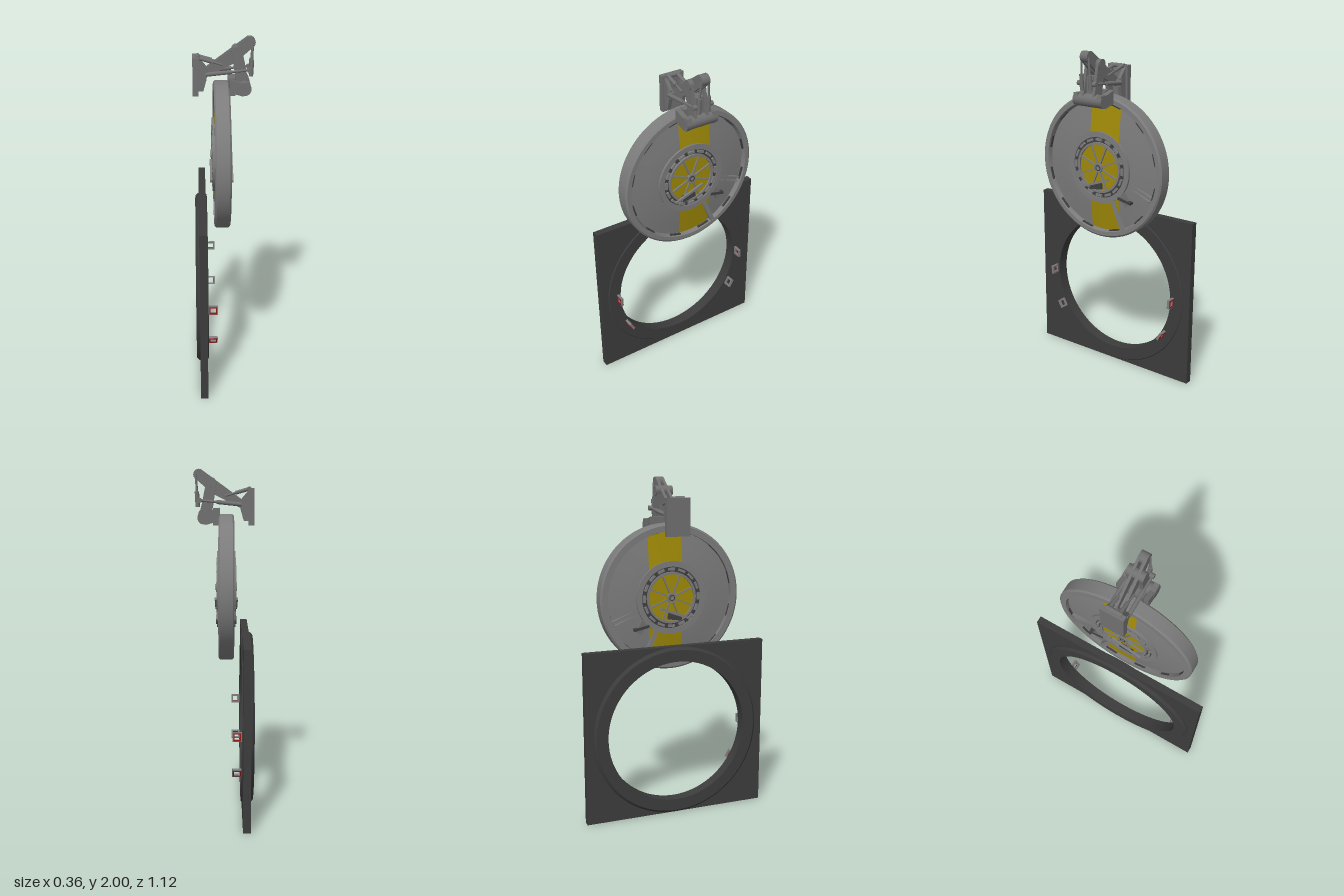
import * as THREE from 'three';
import { toCreasedNormals } from 'three/addons/utils/BufferGeometryUtils.js';

const mat = (name, color, side = THREE.FrontSide) => {
  const m = new THREE.MeshStandardMaterial({ color, side });
  m.name = name;
  return m;
};
const V = (x, y, z) => new THREE.Vector3(x, y, z);

export function createModel() {
  const M = {
    frame: mat('charcoal frame', 0x3c3c3c),
    door: mat('door grey', 0x7c7c7c),
    arm: mat('arm grey', 0x707070),
    dark: mat('dark trim', 0x404040),
    yellow: mat('yellow paint', 0xa08a08, THREE.DoubleSide),
    red: mat('red inlay', 0x9a1414),
  };
  const model = new THREE.Group();
  model.name = 'hangingHatch';

  const group = (name, parent) => {
    const g = new THREE.Group();
    g.name = name;
    parent.add(g);
    return g;
  };
  const add = (parent, name, geo, m, x = 0, y = 0, z = 0) => {
    const mesh = new THREE.Mesh(geo, m);
    mesh.name = name;
    mesh.position.set(x, y, z);
    parent.add(mesh);
    return mesh;
  };
  const box = (parent, name, m, [w, h, d], [x, y, z]) =>
    add(parent, name, new THREE.BoxGeometry(w, h, d), m, x, y, z);
  // Solid of revolution about the x axis; points are [radius, x]
  const turned = (pts, seg = 64) => {
    const g = new THREE.LatheGeometry(pts.map(p => new THREE.Vector2(...p)), seg);
    return toCreasedNormals(g.rotateZ(-Math.PI / 2), 0.5);
  };
  const ring = (r0, r1, x0, x1) => turned([[r0, x0], [r1, x0], [r1, x1], [r0, x1], [r0, x0]]);
  // Flat side profile in x, y with a thickness along z
  const slab = (parent, name, m, pts, thick, z) => {
    const s = new THREE.Shape(pts.map(p => new THREE.Vector2(...p)));
    const g = new THREE.ExtrudeGeometry(s, { depth: thick, bevelEnabled: false });
    return add(parent, name, g, m, 0, 0, z - thick / 2);
  };
  const rod = (parent, name, m, a, b, r, r2 = r) => {
    const d = b.clone().sub(a);
    const mesh = add(parent, name, new THREE.CylinderGeometry(r2, r, d.length(), 16), m);
    mesh.position.copy(a).addScaledVector(d, 0.5);
    mesh.quaternion.setFromUnitVectors(V(0, 1, 0), d.normalize());
    return mesh;
  };
  const pin = (parent, name, m, x, y, r, len, z = 0) =>
    rod(parent, name, m, V(x, y, z - len / 2), V(x, y, z + len / 2), r);

  // Square wall frame with a round collar
  const frame = group('wallFrame', model);
  const CY = 0.5175;
  const sq = new THREE.Shape();
  sq.moveTo(-0.56, -CY).lineTo(0.56, -CY).lineTo(0.56, CY).lineTo(-0.56, CY).closePath();
  sq.holes.push(new THREE.Path().absarc(0, 0, 0.47, 0, Math.PI * 2, true));
  const plate = new THREE.ExtrudeGeometry(sq, { depth: 0.043, bevelEnabled: false, curveSegments: 48 });
  add(frame, 'framePlate', plate.rotateY(Math.PI / 2), M.frame, -0.153, CY, 0);
  add(frame, 'frameCollar', turned([[0.43, -0.174], [0.5, -0.174], [0.515, -0.16], [0.515, -0.112],
    [0.508, -0.104], [0.43, -0.104], [0.43, -0.174]], 80), M.frame, 0, CY, 0);

  // Four square latch loops around the opening, red on their outer side
  const loop = (outer, inner, depth) => {
    const s = new THREE.Shape();
    s.moveTo(-outer, -outer).lineTo(outer, -outer).lineTo(outer, outer).lineTo(-outer, outer).closePath();
    const h = new THREE.Path();
    h.moveTo(-inner, -inner).lineTo(-inner, inner).lineTo(inner, inner).lineTo(inner, -inner).closePath();
    s.holes.push(h);
    return new THREE.ExtrudeGeometry(s, { depth, bevelEnabled: false });
  };
  for (const side of [1, -1]) for (const [y, z, tilt] of [[0.52, 0.44, 0], [0.295, 0.38, 0.52]]) {
    const latch = group('latchLoop', frame);
    latch.position.set(-0.078, y, side * z);
    latch.rotation.set(side * tilt, side > 0 ? 0 : Math.PI, 0);
    add(latch, 'latchBody', loop(0.027, 0.017, 0.015), M.door);
    add(latch, 'latchInlay', loop(0.022, 0.016, 0.004), M.red, 0, 0, 0.0135);
  }

  // Round door: thick rim and two shallow domed faces
  const door = group('door', model);
  door.position.set(-0.017, 1.31, 0);
  const dome = r => 0.018 + (0.39 - r) * 0.13;
  add(door, 'doorRim', turned([[0.385, -0.045], [0.42, -0.045], [0.43, -0.036], [0.43, 0.036],
    [0.42, 0.045], [0.395, 0.045], [0.385, 0.018], [0.385, -0.045]], 80), M.door);

  // Stripe patch that follows the dome
  const stripe = up => {
    const g = new THREE.PlaneGeometry(1, 1, 10, 6);
    const p = g.attributes.position;
    for (let i = 0; i < p.count; i++) {
      const r = 0.3 + p.getY(i) * 0.17;
      const z = -0.033 + p.getX(i) * 0.205;
      p.setXYZ(i, dome(r) + 0.002, up * Math.sqrt(r * r - z * z), z);
    }
    if (up > 0) g.setIndex(Array.from(g.index.array).reverse());
    g.computeVertexNormals();
    return g;
  };

  for (const f of [1, -1]) {
    const face = group(f > 0 ? 'outerFace' : 'innerFace', door);
    if (f < 0) face.rotation.z = Math.PI;
    add(face, 'domedPanel', turned([[0.39, dome(0.39)], [0.3, dome(0.3)], [0.2, dome(0.2)], [0.12, dome(0.2)]]), M.door);
    for (const up of [1, -1]) add(face, 'paintStripe', stripe(up), M.yellow);

    // Hub rings and glazed window
    add(face, 'hubRing', ring(0.182, 0.215, 0.02, 0.054), M.door);
    add(face, 'hubGroove', ring(0.13, 0.185, 0.02, 0.046), M.dark);
    add(face, 'windowRing', ring(0.138, 0.152, 0.03, 0.058), M.door);
    add(face, 'windowGlass', turned([[0.14, 0.047], [0, 0.047]]), M.yellow);
    add(face, 'windowBoss', turned([[0.028, 0.045], [0.028, 0.062], [0.012, 0.062], [0, 0.057]], 24), M.door);
    add(face, 'bossGroove', ring(0.012, 0.018, 0.06, 0.0635), M.dark);
    for (let i = 0; i < 8; i++) {
      const a = (i + 0.5) * Math.PI / 4;
      const spoke = box(face, 'windowSpoke', M.door, [0.012, 0.118, 0.009], [0.05, Math.cos(a) * 0.083, Math.sin(a) * 0.083]);
      spoke.rotation.x = a;
    }
    for (let i = 0; i < 16; i++) {
      const a = i * Math.PI / 8;
      const lug = box(face, 'hubLug', M.door, [0.014, 0.014, 0.042], [0.05, Math.cos(a) * 0.168, Math.sin(a) * 0.168]);
      lug.rotation.x = a;
    }
    // Dark slots along the inside of the rim
    for (let i = 0; i < 12; i++) {
      const a = (i + 0.5) * Math.PI / 6;
      const slot = box(face, 'rimSlot', M.dark, [0.012, 0.008, 0.075], [0.031, Math.cos(a) * 0.386, Math.sin(a) * 0.386]);
      slot.rotation.x = a;
    }
    // Ribs, latch handle and lock box in the lower quarter
    const rib = (name, m, [y0, z0], [y1, z1], w, h) => {
      const a = V(dome(Math.hypot(y0, z0)), y0 * f, z0), b = V(dome(Math.hypot(y1, z1)), y1 * f, z1);
      const d = b.clone().sub(a);
      const g = new THREE.BoxGeometry(h, d.length(), w);
      const mesh = add(face, name, g, m);
      mesh.position.copy(a).addScaledVector(d, 0.5);
      mesh.rotation.x = Math.atan2(d.z, d.y);
    };
    rib('thickRib', M.door, [-0.19, -0.09], [-0.36, -0.165], 0.026, 0.03);
    rib('thinRib', M.door, [-0.06, -0.2], [-0.125, -0.36], 0.006, 0.016);
    rib('thinRib', M.door, [-0.085, -0.195], [-0.15, -0.345], 0.006, 0.016);
    rib('lockBox', M.arm, [-0.13, -0.165], [-0.2, -0.205], 0.04, 0.034);
    rib('lockBar', M.dark, [-0.16, -0.14], [-0.18, -0.23], 0.016, 0.044);
    const handle = box(face, 'handleBlock', M.dark, [0.02, 0.035, 0.085], [0.054, -0.115 * f, 0.02]);
    const bar = box(face, 'handleBar', M.door, [0.012, 0.014, 0.2], [0.062, -0.095 * f, 0.02]);
    handle.rotation.x = 0.15 * f;
    bar.rotation.x = 0.35 * f;
  }

  // Folding arm that carries the door
  const arm = group('hingeArm', model);
  box(arm, 'wallBracket', M.arm, [0.032, 0.215, 0.14], [-0.164, 1.7825, 0]);
  for (const s of [1, -1]) {
    slab(arm, 'bracketRib', M.arm, [[-0.15, 1.70], [-0.12, 1.70], [-0.1, 1.77], [-0.1, 1.82],
      [-0.125, 1.85], [-0.15, 1.88]], 0.022, s * 0.045);
    slab(arm, 'upperArm', M.arm, [[-0.13, 1.78], [-0.105, 1.772], [0.06, 1.855], [0.165, 1.945],
      [0.16, 1.985], [0.13, 1.997], [-0.12, 1.815]], 0.016, s * 0.018);
    slab(arm, 'lowerArm', M.arm, [[0.04, 1.925], [0.06, 1.79], [0.075, 1.72], [0.145, 1.72],
      [0.125, 1.8], [0.1, 1.925]], 0.018, s * 0.038);
    slab(arm, 'doorLug', M.arm, [[0.025, 1.775], [0.09, 1.755], [0.14, 1.76], [0.15, 1.72],
      [0.13, 1.685], [0.1, 1.68], [0.025, 1.70]], 0.03, s * 0.083);
    // Struts and pistons
    rod(arm, 'longCylinder', M.arm, V(-0.105, 1.795, s * 0.054), V(0.04, 1.81, s * 0.054), 0.012);
    rod(arm, 'longRod', M.arm, V(0.04, 1.81, s * 0.054), V(0.145, 1.82, s * 0.054), 0.007);
    rod(arm, 'shortCylinder', M.arm, V(-0.15, 1.885, s * 0.03), V(-0.07, 1.862, s * 0.03), 0.011);
    rod(arm, 'shortRod', M.arm, V(-0.07, 1.862, s * 0.03), V(-0.01, 1.845, s * 0.03), 0.006);
    rod(arm, 'elbowCylinder', M.arm, V(0.15, 1.78, s * 0.03), V(0.155, 1.87, s * 0.03), 0.012);
    rod(arm, 'elbowRod', M.arm, V(0.155, 1.87, s * 0.03), V(0.16, 1.965, s * 0.024), 0.006);
    pin(arm, 'rodEnd', M.arm, 0.14, 1.818, 0.014, 0.025, s * 0.052);
  }
  pin(arm, 'wallPivot', M.arm, -0.115, 1.795, 0.022, 0.12);
  pin(arm, 'pistonPivot', M.arm, -0.15, 1.885, 0.013, 0.09);
  pin(arm, 'middlePivot', M.arm, 0.07, 1.92, 0.03, 0.105);
  pin(arm, 'topPivot', M.arm, 0.143, 1.967, 0.032, 0.05);
  pin(arm, 'lowerPivot', M.arm, 0.112, 1.72, 0.038, 0.2);
  box(arm, 'armCore', M.arm, [0.05, 0.13, 0.05], [0.09, 1.79, 0]);
  box(arm, 'doorMount', M.arm, [0.04, 0.1, 0.13], [0.04, 1.725, 0]);

  return model;
}
